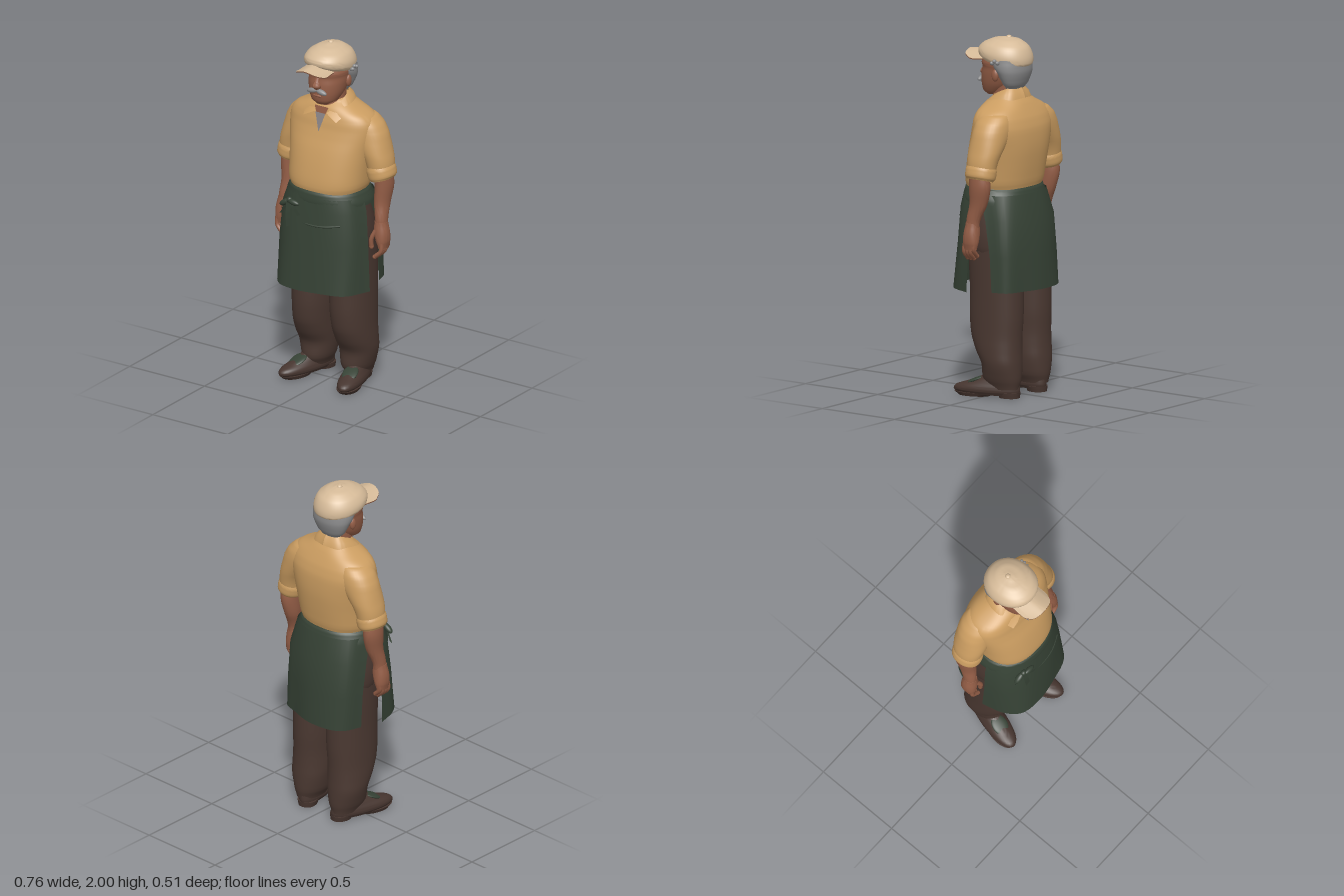
import * as THREE from 'three';
import { toCreasedNormals } from 'three/addons/utils/BufferGeometryUtils.js';

const V = (x, y, z) => new THREE.Vector3(x, y, z);
const mat = (name, color, side = THREE.FrontSide) => {
  const m = new THREE.MeshStandardMaterial({ color, side });
  m.name = name;
  return m;
};

// Closed body from horizontal rings [y, xMin, xMax, zBack, zFront], lowest first.
function loft(rings, power = 2, n = 36, steps = 4) {
  const rows = [];
  for (let i = 0; i < rings.length - 1; i++) {
    const q = [rings[Math.max(i - 1, 0)], rings[i], rings[i + 1], rings[Math.min(i + 2, rings.length - 1)]];
    for (let s = 0; s < steps; s++) {
      const t = s / steps;
      rows.push(q[1].map((b, k) => {
        const a = q[0][k], c = q[2][k], d = q[3][k];
        if (k === 0) return b + (c - b) * t;
        return b + 0.5 * t * (c - a + t * (2 * a - 5 * b + 4 * c - d + t * (3 * (b - c) + d - a)));
      }));
    }
  }
  rows.push(rings[rings.length - 1]);
  const pos = [], idx = [];
  const bend = v => Math.sign(v) * Math.abs(v) ** (2 / power);
  for (const [y, x0, x1, z0, z1] of rows) {
    for (let j = 0; j < n; j++) {
      const a = (j / n) * Math.PI * 2;
      pos.push((x0 + x1) / 2 + (x1 - x0) / 2 * bend(Math.cos(a)), y, (z0 + z1) / 2 + (z1 - z0) / 2 * bend(Math.sin(a)));
    }
  }
  const last = rows.length - 1, base = rows.length * n;
  for (const r of [rows[0], rows[last]]) pos.push((r[1] + r[2]) / 2, r[0], (r[3] + r[4]) / 2);
  for (let j = 0; j < n; j++) {
    const k = (j + 1) % n;
    for (let i = 0; i < last; i++) {
      const a = i * n + j, b = a + n, c = (i + 1) * n + k, d = i * n + k;
      idx.push(a, b, c, a, c, d);
    }
    idx.push(base, j, k, base + 1, last * n + k, last * n + j);
  }
  return finish(pos, idx);
}

function finish(pos, idx) {
  const g = new THREE.BufferGeometry();
  g.setAttribute('position', new THREE.Float32BufferAttribute(pos, 3));
  g.setIndex(idx);
  return toCreasedNormals(g, 0.9);
}

// Open cloth stretched over several curves, each a short list of [x, y, z].
function cloth(curves, n = 28) {
  const pos = [], idx = [];
  for (const c of curves) {
    const curve = new THREE.CatmullRomCurve3(c.map(p => V(...p)));
    for (let j = 0; j <= n; j++) pos.push(...curve.getPoint(j / n).toArray());
  }
  for (let i = 0; i < curves.length - 1; i++) {
    for (let j = 0; j < n; j++) {
      const a = i * (n + 1) + j, b = a + n + 1;
      idx.push(a, b, b + 1, a, b + 1, a + 1);
    }
  }
  return finish(pos, idx);
}

const tube = (pts, r) => new THREE.TubeGeometry(new THREE.CatmullRomCurve3(pts.map(p => V(...p))), 24, r, 8);
const ball = (x, y, z, rx, ry, rz, tilt = 0) =>
  new THREE.SphereGeometry(1, 24, 16).scale(rx, ry, rz).rotateZ(tilt).translate(x, y, z);

function mirror(geo) {
  const g = geo.clone().scale(-1, 1, 1);
  const src = g.index ? Array.from(g.index.array) : Array.from({ length: g.attributes.position.count }, (_, i) => i);
  for (let i = 0; i < src.length; i += 3) [src[i + 1], src[i + 2]] = [src[i + 2], src[i + 1]];
  g.setIndex(src);
  return g;
}

export function createModel() {
  const model = new THREE.Group();
  model.name = 'shopkeeper';
  const D = THREE.DoubleSide;
  const shirt = mat('ochre shirt', 0xcb9d61, D), green = mat('dark green apron', 0x364235, D);
  const brown = mat('brown trousers', 0x4a3831), skin = mat('tanned skin', 0x935d46);
  const cream = mat('cream cap', 0xd5ba98, D), grey = mat('grey hair', 0x8b8b8c);
  const vest = mat('grey undershirt', 0x8a8587), leather = mat('shoe leather', 0x46352f);
  const shade = mat('cap lining', 0x6b4634, D);
  const add = (name, geo, m) => {
    const mesh = new THREE.Mesh(geo, m);
    mesh.name = name;
    model.add(mesh);
  };
  const pair = (name, geo, m) => {
    add('left' + name, geo, m);
    add('right' + name, mirror(geo), m);
  };

  // Trousers
  pair('TrouserLeg', loft([[0.05, 0.07, 0.195, -0.185, 0.01], [0.1, 0.046, 0.215, -0.195, 0.035],
    [0.19, 0.03, 0.237, -0.197, 0.035], [0.26, 0.024, 0.241, -0.195, 0.075], [0.34, 0.02, 0.24, -0.195, 0.108],
    [0.45, 0.012, 0.24, -0.2, 0.122], [0.6, 0.008, 0.24, -0.2, 0.122], [0.84, 0, 0.243, -0.2, 0.135]], 2.15), brown);
  add('trouserSeat', loft([[0.76, -0.21, 0.21, -0.18, 0.11], [0.82, -0.243, 0.243, -0.2, 0.14],
    [0.95, -0.246, 0.246, -0.2, 0.17], [1.15, -0.215, 0.215, -0.165, 0.175]], 2.3), brown);

  // Shoes, toes turned out, with separate heel and forefoot soles
  const place = g => g.rotateY(0.25).translate(0.13, 0, -0.1);
  pair('Shoe', place(loft([[0.014, -0.056, 0.06, -0.08, 0.288], [0.033, -0.066, 0.07, -0.088, 0.304],
    [0.056, -0.064, 0.068, -0.088, 0.288], [0.076, -0.056, 0.06, -0.086, 0.23],
    [0.1, -0.048, 0.051, -0.082, 0.165], [0.135, -0.04, 0.04, -0.07, 0.1]], 2.1)), leather);
  pair('ShoeHeel', place(loft([[0, -0.048, 0.05, -0.084, 0.03], [0.03, -0.054, 0.056, -0.087, 0.04]], 2.3)), leather);
  pair('ShoeForesole', place(loft([[0, -0.054, 0.058, 0.09, 0.275], [0.02, -0.062, 0.066, 0.06, 0.298]], 2.1)), leather);
  pair('ShoeTongue', place(ball(0, 0, 0, 0.044, 0.012, 0.062).rotateX(0.4).translate(0.002, 0.087, 0.172)), green);

  // Shirt
  add('shirtBody', loft([[1.15, -0.21, 0.21, -0.172, 0.185], [1.2, -0.229, 0.227, -0.185, 0.192],
    [1.3, -0.238, 0.238, -0.2, 0.176], [1.4, -0.252, 0.252, -0.21, 0.15], [1.5, -0.27, 0.27, -0.207, 0.115],
    [1.56, -0.264, 0.264, -0.19, 0.1], [1.6, -0.232, 0.232, -0.17, 0.088], [1.64, -0.155, 0.155, -0.147, 0.072],
    [1.68, -0.1, 0.1, -0.118, 0.035]], 2.4, 60), shirt);
  pair('Sleeve', loft([[1.26, 0.23, 0.36, -0.14, 0.015], [1.33, 0.212, 0.362, -0.15, 0.024],
    [1.4, 0.17, 0.347, -0.163, 0.032], [1.5, 0.08, 0.32, -0.171, 0.034], [1.55, 0.08, 0.291, -0.165, 0.03],
    [1.588, 0.08, 0.25, -0.148, 0.018], [1.605, 0.08, 0.2, -0.12, -0.01]], 2.15), shirt);
  pair('RolledCuff', loft([[-0.045, -0.065, 0.062, -0.08, 0.076], [-0.03, -0.077, 0.075, -0.09, 0.084],
    [0.015, -0.078, 0.076, -0.092, 0.086], [0.035, -0.07, 0.068, -0.085, 0.08]], 2.1)
    .rotateZ(0.25).translate(0.298, 1.283, -0.058), shirt);
  pair('Collar', cloth([
    [[0, 1.728, -0.104], [0.065, 1.72, -0.078], [0.086, 1.685, 0], [0.036, 1.612, 0.094]],
    [[0, 1.7, -0.128], [0.09, 1.69, -0.095], [0.116, 1.662, 0.01], [0.073, 1.595, 0.106]],
    [[0, 1.665, -0.14], [0.1, 1.655, -0.105], [0.138, 1.632, 0.015], [0.11, 1.575, 0.108]]]), shirt);
  add('openNeck', finish([-0.046, 1.645, 0.09, 0, 1.53, 0.1125, 0.046, 1.645, 0.09], [0, 1, 2]), skin);
  add('undershirt', finish([-0.033, 1.61, 0.1015, 0, 1.503, 0.121, 0.033, 1.61, 0.1015], [0, 1, 2]), vest);

  // Forearms and hands
  pair('Forearm', loft([[0.97, 0.29, 0.357, -0.062, 0.015], [1.02, 0.285, 0.355, -0.07, 0.014],
    [1.1, 0.267, 0.352, -0.105, 0.002], [1.2, 0.265, 0.362, -0.13, 0], [1.28, 0.27, 0.358, -0.12, 0]]), skin);
  pair('Palm', loft([[0.85, 0.318, 0.362, -0.06, 0.022], [0.89, 0.3, 0.371, -0.066, 0.027],
    [0.94, 0.285, 0.37, -0.065, 0.025], [1, 0.287, 0.357, -0.06, 0.016]], 2.2), skin);
  for (let i = 0; i < 4; i++) {
    const z = -0.05 + i * 0.021, drop = i === 0 ? 0.015 : 0;
    pair('Finger', tube([[0.348, 0.885, z], [0.345, 0.835 + drop, z + 0.004], [0.308, 0.797 + drop, z + 0.008]], 0.0125), skin);
    pair('Fingertip', ball(0.308, 0.797 + drop, z + 0.008, 0.0125, 0.0125, 0.0125), skin);
  }
  pair('Thumb', tube([[0.31, 0.955, 0.012], [0.289, 0.9, 0.026], [0.287, 0.855, 0.022]], 0.013), skin);
  pair('ThumbTip', ball(0.287, 0.855, 0.022, 0.013, 0.016, 0.013), skin);

  // Head and face
  add('neck', loft([[1.56, -0.09, 0.09, -0.1, 0.06], [1.64, -0.077, 0.077, -0.095, 0.068],
    [1.75, -0.075, 0.075, -0.1, 0.06]]), skin);
  add('head', loft([[1.665, -0.04, 0.04, 0.04, 0.112], [1.685, -0.074, 0.074, -0.02, 0.128],
    [1.73, -0.095, 0.095, -0.07, 0.136], [1.785, -0.107, 0.107, -0.1, 0.134], [1.825, -0.111, 0.111, -0.12, 0.127],
    [1.855, -0.114, 0.114, -0.12, 0.13], [1.93, -0.09, 0.09, -0.1, 0.1]], 2.15), skin);
  add('nose', loft([[1.762, -0.018, 0.018, 0.1, 0.148], [1.78, -0.026, 0.026, 0.1, 0.166],
    [1.81, -0.016, 0.016, 0.1, 0.15], [1.85, -0.014, 0.014, 0.1, 0.131]], 2, 20), skin);
  add('lowerLip', ball(0, 1.722, 0.131, 0.028, 0.008, 0.009), skin);
  pair('Ear', ball(0.109, 1.79, -0.014, 0.015, 0.034, 0.021), skin);
  pair('Moustache', ball(0.029, 1.75, 0.136, 0.037, 0.015, 0.015, -0.22), grey);
  add('hair', loft([[1.705, -0.06, 0.06, -0.105, -0.035], [1.74, -0.092, 0.092, -0.125, -0.02],
    [1.8, -0.119, 0.119, -0.146, 0.012], [1.84, -0.128, 0.128, -0.149, 0.045],
    [1.88, -0.125, 0.125, -0.146, 0.055]], 2.05), grey);
  for (const [dy, dz] of [[0, -0.05], [0.008, -0.03], [-0.004, -0.012]]) {
    add('hairTuft', ball(0.134, 1.866 + dy, dz, 0.014, 0.011, 0.01, 0.4), grey);
  }

  // Cap, raised toward the front
  const crown = loft([[1.858, -0.127, 0.12, -0.142, 0.13], [1.873, -0.139, 0.13, -0.157, 0.15],
    [1.91, -0.138, 0.13, -0.157, 0.152], [1.95, -0.115, 0.108, -0.135, 0.122],
    [1.978, -0.072, 0.062, -0.09, 0.073], [1.99, -0.022, 0.012, -0.035, 0.015]], 2.1, 48);
  const p = crown.attributes.position;
  for (let i = 0; i < p.count; i++) p.setY(i, p.getY(i) + 0.16 * p.getZ(i) * Math.min(1, (1.99 - p.getY(i)) / 0.1));
  add('capCrown', toCreasedNormals(crown, 0.9), cream);
  add('capButton', ball(-0.012, 1.987, -0.018, 0.016, 0.013, 0.016), cream);
  const peak = dy => cloth([
    [[-0.1, 1.868 + dy, 0.09], [-0.075, 1.885 + dy, 0.11], [-0.01, 1.907 + dy, 0.12], [0.06, 1.885 + dy, 0.11], [0.085, 1.868 + dy, 0.09]],
    [[-0.102, 1.862 + dy, 0.16], [-0.075, 1.88 + dy, 0.185], [-0.01, 1.905 + dy, 0.19], [0.06, 1.88 + dy, 0.185], [0.087, 1.862 + dy, 0.16]],
    [[-0.1, 1.864 + dy, 0.185], [-0.075, 1.882 + dy, 0.228], [-0.01, 1.9 + dy, 0.245], [0.06, 1.882 + dy, 0.228], [0.085, 1.864 + dy, 0.185]]]);
  add('capPeak', peak(0), cream);
  add('capPeakLining', peak(-0.006), shade);

  // Apron: waistband, front and back panels
  add('apronWaistband', loft([[1.09, -0.252, 0.252, -0.205, 0.203], [1.12, -0.247, 0.247, -0.2, 0.205],
    [1.165, -0.23, 0.228, -0.186, 0.197], [1.172, -0.222, 0.22, -0.18, 0.19]], 2.2, 48), green);
  const hang = (y, pts) => pts.map(([x, z]) => [x, y, z]);
  add('apronFront', cloth([
    hang(1.14, [[-0.24, 0.03], [-0.2, 0.125], [-0.11, 0.185], [0, 0.2], [0.11, 0.185], [0.2, 0.125], [0.24, 0.03]]),
    hang(1.06, [[-0.263, 0.035], [-0.222, 0.14], [-0.13, 0.2], [0, 0.212], [0.12, 0.195], [0.22, 0.135], [0.263, 0.035]]),
    hang(0.85, [[-0.275, 0.04], [-0.24, 0.15], [-0.15, 0.222], [-0.02, 0.236], [0.11, 0.216], [0.235, 0.145], [0.278, 0.04]]),
    hang(0.595, [[-0.285, 0.035], [-0.246, 0.16], [-0.18, 0.235], [-0.06, 0.256], [0.08, 0.236], [0.22, 0.19], [0.292, 0.045]])]), green);
  add('apronBack', cloth([
    hang(1.14, [[-0.24, -0.01], [-0.2, -0.13], [-0.1, -0.185], [0, -0.196], [0.1, -0.185], [0.2, -0.13], [0.24, -0.01]]),
    hang(1.0, [[-0.257, -0.06], [-0.222, -0.165], [-0.12, -0.222], [0, -0.236], [0.12, -0.217], [0.222, -0.165], [0.257, -0.06]]),
    hang(0.8, [[-0.256, -0.09], [-0.222, -0.185], [-0.13, -0.235], [0, -0.25], [0.13, -0.223], [0.225, -0.18], [0.256, -0.09]]),
    hang(0.605, [[-0.254, -0.1], [-0.222, -0.192], [-0.16, -0.24], [0, -0.257], [0.13, -0.222], [0.225, -0.188], [0.254, -0.1]])]), green);
  add('pocketEdge', tube([[-0.05, 0.988, 0.214], [0.02, 0.983, 0.217], [0.1, 0.986, 0.206], [0.18, 0.997, 0.172]], 0.006), green);

  // Apron bow with drooping loops and flat tails
  add('bowKnot', ball(-0.135, 1.095, 0.205, 0.018, 0.018, 0.016), green);
  add('bowLoopOuter', ball(-0.168, 1.075, 0.202, 0.038, 0.017, 0.018, 0.6), green);
  add('bowLoopInner', ball(-0.1, 1.09, 0.215, 0.036, 0.016, 0.015, -0.15), green);
  const tail = (a, b, c, w) => cloth([-w, w].map(d => [a, b, c].map(([x, y, z]) => [x + d, y + d / 2, z])));
  add('bowLongTail', tail([-0.135, 1.095, 0.214], [-0.132, 1.02, 0.225], [-0.126, 0.95, 0.23], 0.015), green);
  add('bowOuterTail', tail([-0.135, 1.095, 0.212], [-0.165, 1.05, 0.205], [-0.2, 1.0, 0.195], 0.01), green);
  add('bowInnerTail', tail([-0.135, 1.095, 0.214], [-0.095, 1.06, 0.222], [-0.06, 1.025, 0.224], 0.01), green);

  return model;
}
